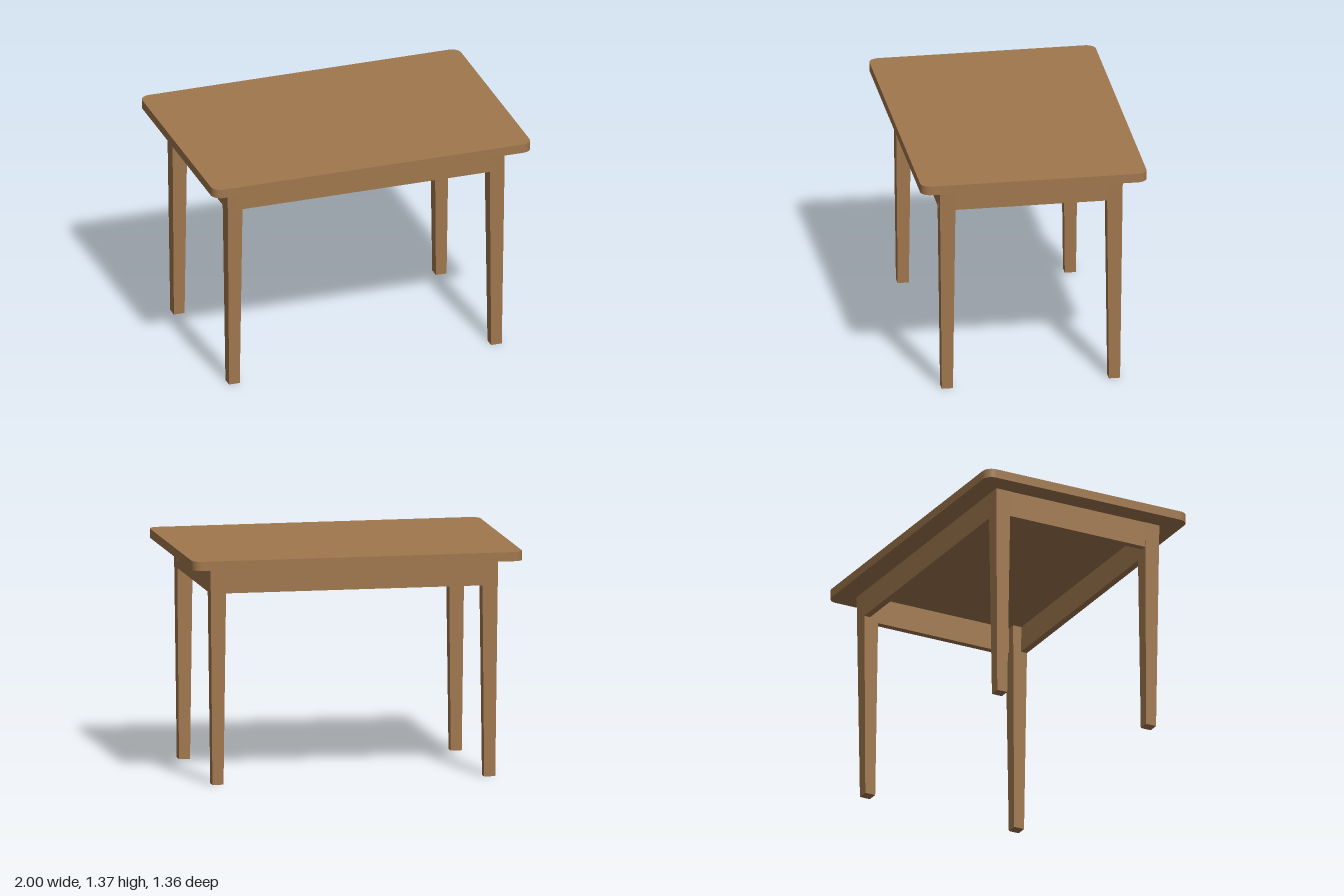
import * as THREE from 'three';
import { toCreasedNormals } from 'three/addons/utils/BufferGeometryUtils.js';

const TOP_Y = 1.365, TOP_UNDER = 1.31, APRON_Y = 1.15;
const LEG_X = 0.822, LEG_Z = 0.502, LEG_TOP = 0.096, LEG_FOOT = 0.067;
const APRON_X = 0.868, APRON_Z = 0.549, APRON_T = 0.04;

// Rounded rectangle centred on the origin
function roundedRect(hw, hd, r) {
  const s = new THREE.Shape();
  s.absarc(hw - r, hd - r, r, 0, Math.PI / 2);
  s.absarc(-hw + r, hd - r, r, Math.PI / 2, Math.PI);
  s.absarc(-hw + r, -hd + r, r, Math.PI, Math.PI * 1.5);
  s.absarc(hw - r, -hd + r, r, Math.PI * 1.5, Math.PI * 2);
  s.closePath();
  return s;
}

// Square leg narrowing evenly towards the foot
function taperedLeg() {
  const g = new THREE.BoxGeometry(LEG_TOP, TOP_UNDER, LEG_TOP);
  const p = g.attributes.position;
  const k = LEG_FOOT / LEG_TOP;
  for (let i = 0; i < p.count; i++) {
    if (p.getY(i) < 0) p.setXYZ(i, p.getX(i) * k, p.getY(i), p.getZ(i) * k);
  }
  g.computeVertexNormals();
  return g.translate(0, TOP_UNDER / 2, 0);
}

export function createModel() {
  const table = new THREE.Group();
  table.name = 'table';
  const wood = new THREE.MeshStandardMaterial({ color: 0xa0774d });
  wood.name = 'wood';

  const add = (name, geometry, x, y, z) => {
    const mesh = new THREE.Mesh(geometry, wood);
    mesh.name = name;
    mesh.position.set(x, y, z);
    table.add(mesh);
  };

  // Table top with rounded corners
  const slab = new THREE.ExtrudeGeometry(roundedRect(1, 0.68, 0.06), {
    depth: TOP_Y - TOP_UNDER, bevelEnabled: false, curveSegments: 10,
  });
  slab.rotateX(-Math.PI / 2);
  add('tableTop', toCreasedNormals(slab, 0.6), 0, TOP_UNDER, 0);

  // Four legs
  const leg = taperedLeg();
  for (const [sx, side] of [[1, 'Left'], [-1, 'Right']]) {
    for (const [sz, end] of [[1, 'front'], [-1, 'back']]) {
      add(`${end}${side}Leg`, leg, sx * LEG_X, 0, sz * LEG_Z);
    }
  }

  // Aprons between the legs, almost flush with their outer faces
  const h = TOP_UNDER - APRON_Y, y = APRON_Y + h / 2;
  const longApron = new THREE.BoxGeometry(LEG_X * 2, h, APRON_T);
  const shortApron = new THREE.BoxGeometry(APRON_T, h, LEG_Z * 2);
  add('frontApron', longApron, 0, y, APRON_Z - APRON_T / 2);
  add('backApron', longApron, 0, y, -APRON_Z + APRON_T / 2);
  add('leftApron', shortApron, APRON_X - APRON_T / 2, y, 0);
  add('rightApron', shortApron, -APRON_X + APRON_T / 2, y, 0);

  return table;
}
